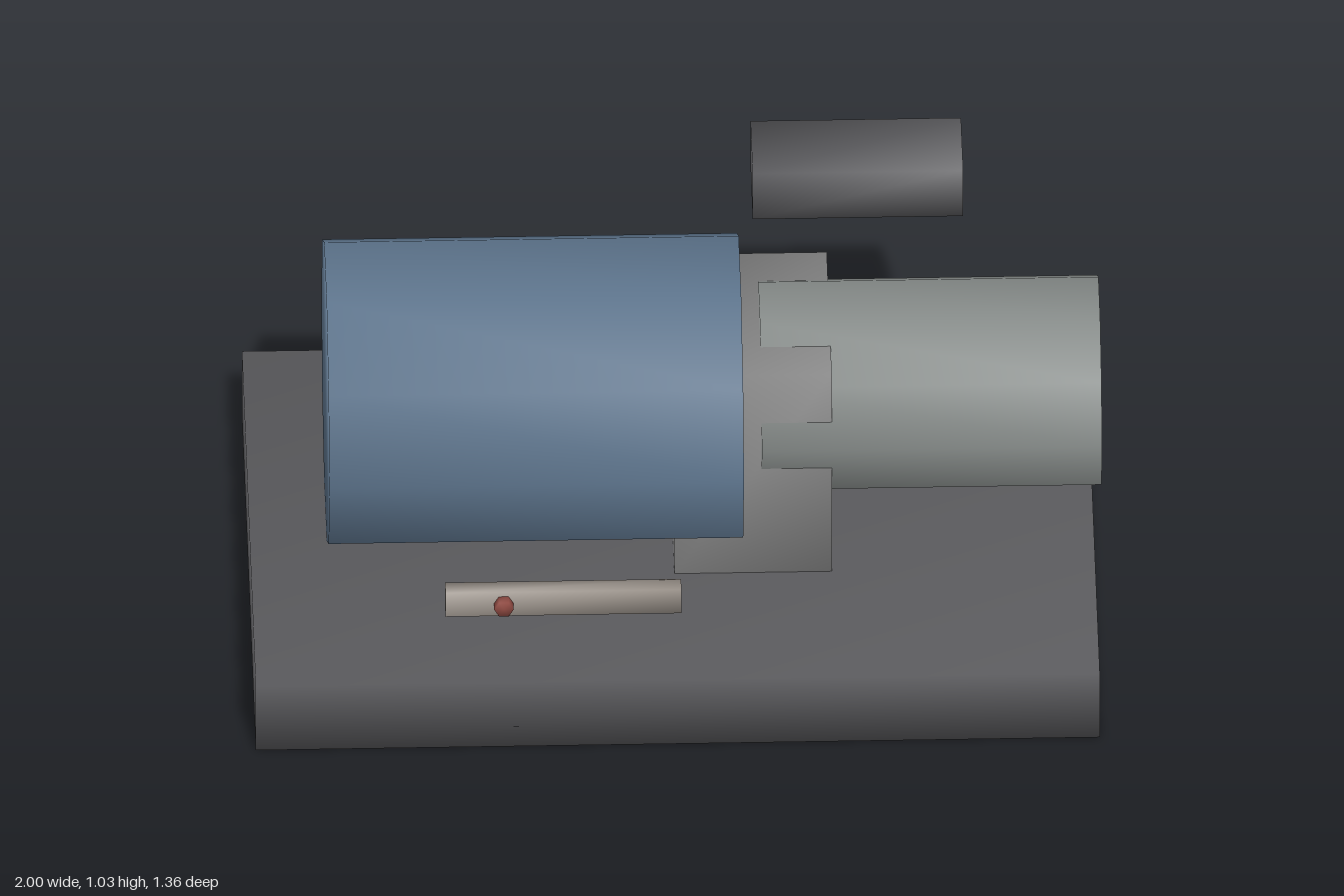
import * as THREE from 'three';
import { mergeVertices } from 'three/addons/utils/BufferGeometryUtils.js';

// Weld shared corners so shading runs smoothly over every edge
function soften(geometry) {
  geometry.deleteAttribute('normal');
  geometry.deleteAttribute('uv');
  const welded = mergeVertices(geometry, 1e-4);
  welded.computeVertexNormals();
  return welded;
}

export function createModel() {
  const group = new THREE.Group();

  function add(name, geometry, color, x, y, z) {
    const mesh = new THREE.Mesh(soften(geometry), new THREE.MeshStandardMaterial({ color }));
    mesh.name = name;
    mesh.position.set(x, y, z);
    group.add(mesh);
  }

  // Box given by its extents along each axis
  function box(name, color, [x0, x1], [y0, y1], [z0, z1]) {
    add(name, new THREE.BoxGeometry(x1 - x0, y1 - y0, z1 - z0), color,
      (x0 + x1) / 2, (y0 + y1) / 2, (z0 + z1) / 2);
  }

  // Ten-sided drum lying along x on the shared shaft axis
  function drum(name, color, radius, x0, x1) {
    const geometry = new THREE.CylinderGeometry(radius, radius, x1 - x0, 10);
    geometry.rotateZ(Math.PI / 2);
    add(name, geometry, color, (x0 + x1) / 2, 0.565, -0.035);
  }

  // Base plate and the bracket standing on it
  box('basePlate', 0x58585b, [-1, 0.985], [0, 0.19], [-0.68, 0.608]);
  box('bracket', 0x929292, [-0.005, 0.365], [0.19, 0.775], [-0.27, 0.2]);

  // Motor body and the smaller housing beyond the bracket
  drum('motorBody', 0x5c738b, 0.373, -0.82, 0.155);
  drum('pumpHousing', 0x858a88, 0.257, 0.2, 1);

  // Detached box above the housing
  box('junctionBox', 0x58585b, [0.19, 0.685], [0.9, 1.035], [-0.442, -0.239]);

  // Front switch bar with a six-sided button
  box('switchBar', 0x9c948c, [-0.555, 0], [0.425, 0.495], [0.615, 0.656]);
  const button = new THREE.CylinderGeometry(0.023, 0.023, 0.026, 6, 1, false, Math.PI / 2);
  button.rotateX(Math.PI / 2);
  add('button', button, 0x8f4a42, -0.418, 0.462, 0.667);

  return group;
}
